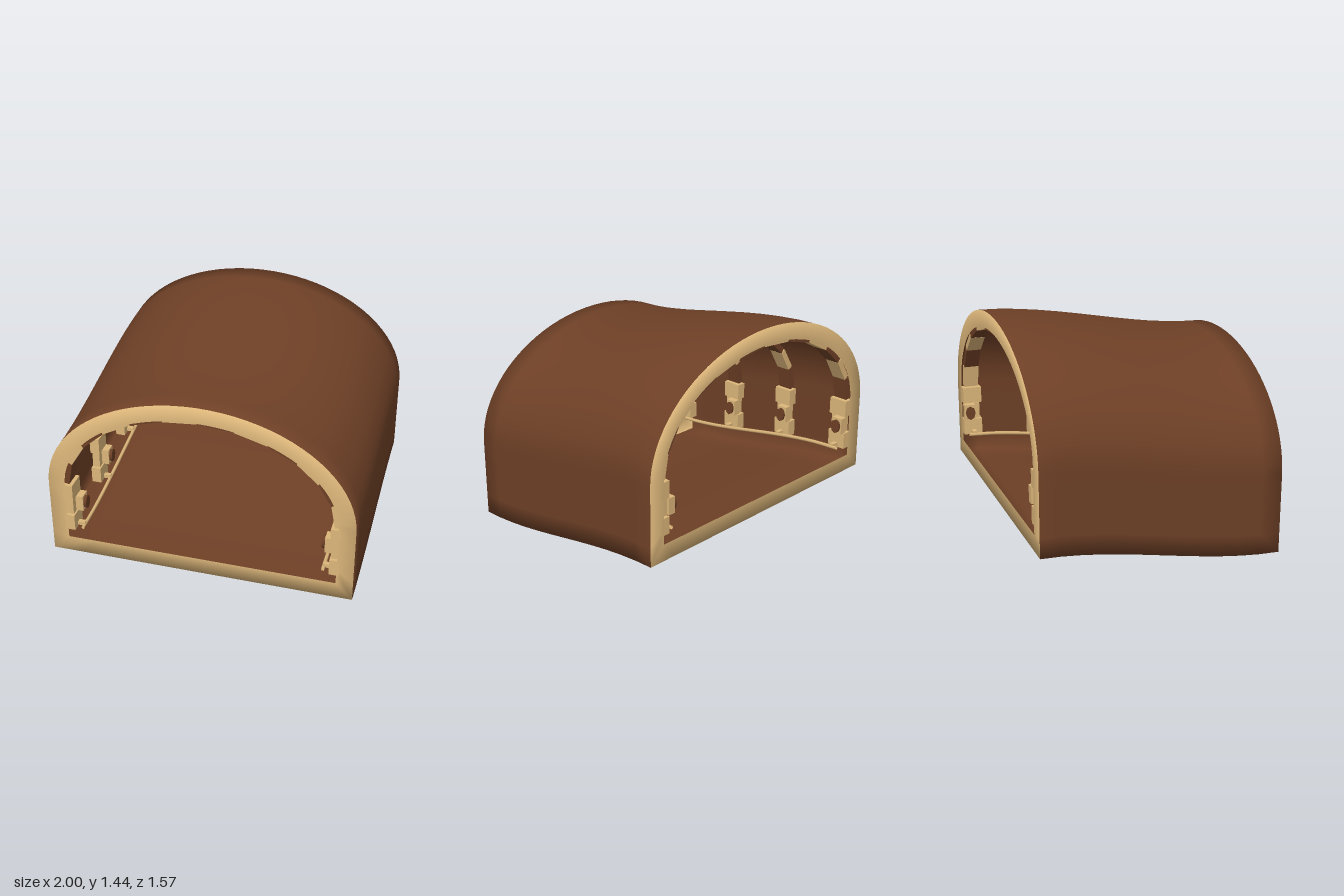
import * as THREE from 'three';

const brown = new THREE.MeshStandardMaterial({ color: 0x6e4026, side: THREE.DoubleSide });
brown.name = 'brown';
const tan = new THREE.MeshStandardMaterial({ color: 0xdcb67a, side: THREE.DoubleSide });
tan.name = 'tan';

const HALF = 0.785;   // half length of the tunnel
const SPRING = 0.52;  // height where the arch begins

// The whole tunnel climbs smoothly by 0.2 from front to back
const rise = (z) => 0.2 * THREE.MathUtils.smoothstep(-z, -HALF, HALF);

// Closed arch outline, counter-clockwise from the lower -x corner
function outline(rx, floor, ry) {
  const pts = [];
  const FLOOR = 10, WALL = 4, ARCH = 40;
  for (let i = 0; i < FLOOR; i++) pts.push([-rx + (2 * rx * i) / FLOOR, floor]);
  for (let i = 0; i < WALL; i++) pts.push([rx, floor + ((SPRING - floor) * i) / WALL]);
  for (let i = 0; i < ARCH; i++) {
    const a = (Math.PI * i) / ARCH;
    pts.push([rx * Math.cos(a), SPRING + ry * Math.sin(a)]);
  }
  for (let i = 0; i < WALL; i++) pts.push([-rx, SPRING - ((SPRING - floor) * i) / WALL]);
  return pts;
}

// Thin shell with a flat rim at each end, sharing smooth normals
function tunnelGeometry() {
  const outer = outline(1, 0, 0.72), inner = outline(0.89, 0.11, 0.61);
  const n = outer.length, RINGS = 12;
  const pos = [], shell = [], rim = [];
  const addLoop = (pts, z) => pts.forEach(([x, y]) => pos.push(x, y + rise(z), z));
  for (let i = 0; i <= RINGS; i++) addLoop(outer, HALF - (2 * HALF * i) / RINGS);
  addLoop(inner, HALF);
  addLoop(inner, -HALF);
  const back = RINGS * n, innerFront = (RINGS + 1) * n, innerBack = (RINGS + 2) * n;
  for (let j = 0; j < n; j++) {
    const k = (j + 1) % n;
    for (let i = 0; i < RINGS; i++) {
      const a = i * n, b = a + n;
      shell.push(a + j, b + j, a + k, a + k, b + j, b + k);
    }
    rim.push(j, k, innerFront + k, j, innerFront + k, innerFront + j);
    rim.push(back + j, innerBack + k, back + k, back + j, innerBack + j, innerBack + k);
  }
  const g = new THREE.BufferGeometry();
  g.setAttribute('position', new THREE.Float32BufferAttribute(pos, 3));
  g.setIndex([...shell, ...rim]);
  g.addGroup(0, shell.length, 0);
  g.addGroup(shell.length, rim.length, 1);
  g.computeVertexNormals();
  return g;
}

function add(parent, name, geometry, material, x = 0, y = 0, z = 0) {
  const m = new THREE.Mesh(geometry, material);
  m.name = name;
  m.position.set(x, y, z);
  parent.add(m);
  return m;
}
const box = (w, h, d) => new THREE.BoxGeometry(w, h, d);

// Arch of twelve alternating bricks standing on stacked post blocks
function buildRib(z) {
  const rib = new THREE.Group();
  rib.name = 'archRib';
  const COUNT = 12, rx = 0.885, ry = 0.615;
  for (let i = 0; i < COUNT; i++) {
    const [a, b] = [i, i + 1].map((k) => {
      const t = (Math.PI * k) / COUNT;
      return new THREE.Vector2(rx * Math.cos(t), SPRING + ry * Math.sin(t));
    });
    const brick = add(rib, 'archBrick', box(a.distanceTo(b) * 0.96, 0.04, 0.1),
      i % 2 ? brown : tan, (a.x + b.x) / 2, (a.y + b.y) / 2);
    brick.rotation.z = Math.atan2(b.y - a.y, b.x - a.x);
  }
  for (const side of [-1, 1]) {
    for (let i = 0; i < 3; i++) {
      const wide = i % 2 ? 0 : 0.015;
      add(rib, 'postBlock', box(0.05 + wide, 0.112, 0.1 + wide * 2), tan,
        side * 0.875, 0.225 + i * 0.117);
    }
    // Wall lamp on the inner face of the post
    add(rib, 'lampBox', box(0.05, 0.11, 0.075), tan, side * 0.825, 0.345, -0.03);
    const knob = add(rib, 'lampKnob', new THREE.CylinderGeometry(0.03, 0.035, 0.03, 8), brown,
      side * 0.795, 0.345, -0.03);
    knob.rotation.z = -side * Math.PI / 2;
    knob.scale.x = 1.4;
  }
  rib.position.set(0, rise(z), z);
  return rib;
}

// Low rail following the slope on short brackets
function buildRail(side) {
  const rail = new THREE.Group();
  rail.name = 'sideRail';
  const path = [];
  for (let i = 0; i <= 8; i++) {
    const z = 0.76 - (1.52 * i) / 8;
    path.push(new THREE.Vector3(side * 0.8, 0.18 + rise(z), z));
  }
  add(rail, 'railBar', new THREE.TubeGeometry(new THREE.CatmullRomCurve3(path), 24, 0.012, 6), tan);
  for (const z of [0.72, 0.24, -0.24, -0.72])
    add(rail, 'railBracket', box(0.07, 0.025, 0.03), tan, side * 0.83, 0.19 + rise(z), z);
  return rail;
}

export function createModel() {
  const model = new THREE.Group();
  model.name = 'archedTunnel';
  add(model, 'tunnelShell', tunnelGeometry(), [brown, tan]);
  for (const z of [0.72, 0.24, -0.24, -0.72]) model.add(buildRib(z));
  for (const side of [-1, 1]) model.add(buildRail(side));
  return model;
}
